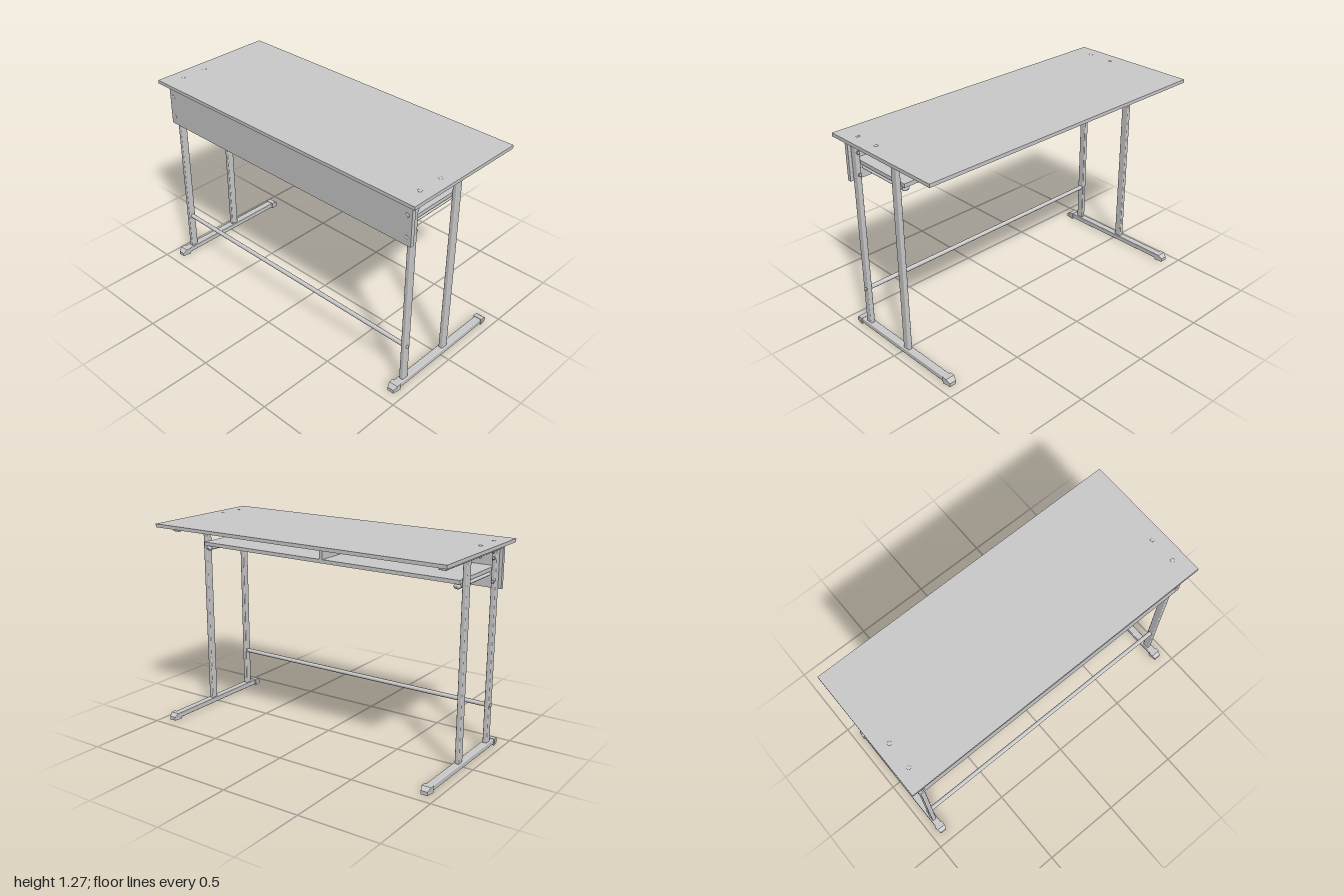
import * as THREE from 'three';
import { RoundedBoxGeometry } from 'three/addons/geometries/RoundedBoxGeometry.js';

const grey = new THREE.MeshStandardMaterial({ color: 0xcccccc });

function add(parent, name, geometry, x = 0, y = 0, z = 0) {
  const mesh = new THREE.Mesh(geometry, grey);
  mesh.name = name;
  mesh.position.set(x, y, z);
  parent.add(mesh);
  return mesh;
}

// Board or tube given by its limits along each axis; r rounds the edges
function block(parent, name, [x0, x1], [y0, y1], [z0, z1], r = 0) {
  const size = [x1 - x0, y1 - y0, z1 - z0];
  const geo = r ? new RoundedBoxGeometry(...size, 2, r) : new THREE.BoxGeometry(...size);
  return add(parent, name, geo, (x0 + x1) / 2, (y0 + y1) / 2, (z0 + z1) / 2);
}

// Shallow domed bolt head, base at the origin, pointing up
function boltHead(radius, height) {
  const profile = [[0, 0], [1, 0], [0.95, 0.35], [0.65, 0.8], [0, 1]];
  return new THREE.LatheGeometry(profile.map(([a, b]) => new THREE.Vector2(a * radius, b * height)), 14);
}

// Hexagonal nut with a short domed tip
function addNut(parent, x, y, z, turn) {
  const nut = new THREE.Group();
  nut.name = 'nut';
  const hex = new THREE.CylinderGeometry(0.011, 0.011, 0.008, 6);
  hex.translate(0, 0.004, 0);
  add(nut, 'nutBody', hex);
  add(nut, 'nutTip', boltHead(0.008, 0.01), 0, 0.008, 0);
  nut.position.set(x, y, z);
  nut.rotation.z = turn;
  parent.add(nut);
}

// Foot cap: bevelled side profile, narrowing towards its outer end (+x)
function footCapGeometry() {
  const shape = new THREE.Shape([[0, 0], [0.053, 0], [0.053, 0.022], [0.03, 0.042], [0, 0.042]]
    .map(p => new THREE.Vector2(...p)));
  const geo = new THREE.ExtrudeGeometry(shape, { depth: 0.058, bevelEnabled: false });
  geo.translate(0, 0, -0.029);
  const pos = geo.attributes.position;
  for (let i = 0; i < pos.count; i++) {
    if (pos.getX(i) > 0.04) pos.setZ(i, pos.getZ(i) * 0.72);
  }
  geo.computeVertexNormals();
  return geo;
}

// One end frame: foot, two legs, top rail, shelf support and fixings
function endFrame(side) {
  const frame = new THREE.Group();
  frame.name = side > 0 ? 'frontFrame' : 'backFrame';
  const zc = side * 0.924;
  const span = half => [zc - half, zc + half];

  block(frame, 'footBar', [-0.41, 0.41], [0.006, 0.039], span(0.023), 0.005);
  for (const end of [-1, 1]) {
    const cap = add(frame, 'footCap', footCapGeometry(), end * 0.38, 0, zc);
    if (end < 0) cap.rotation.y = Math.PI;
  }
  block(frame, 'rearLeg', [-0.346, -0.301], [0.036, 1.216], span(0.014), 0.006);
  block(frame, 'frontLeg', [0.012, 0.059], [0.036, 1.216], span(0.014), 0.006);
  block(frame, 'topRail', [-0.348, 0.32], [1.213, 1.247], span(0.023), 0.005);

  // Flat oval tube under the shelf, with a domed end
  const support = add(frame, 'shelfSupport', new THREE.CylinderGeometry(0.013, 0.013, 0.36, 16), -0.12, 1.071, side * 0.885);
  support.rotation.z = Math.PI / 2;
  support.scale.z = 1.7;
  const plug = add(frame, 'supportPlug', boltHead(0.016, 0.016), 0.06, 1.071, side * 0.885);
  plug.rotation.z = -Math.PI / 2;
  plug.scale.z = 1.5;

  // Bolts through the tabletop and top rail
  for (const x of [-0.285, -0.12]) {
    add(frame, 'topBolt', boltHead(0.013, 0.005), x, 1.267, zc);
    addNut(frame, x, 1.213, zc, Math.PI);
  }
  // Bolts through the rear panel and leg
  for (const y of [1.165, 1.03]) {
    add(frame, 'panelBolt', boltHead(0.013, 0.005), -0.371, y, zc).rotation.z = Math.PI / 2;
    addNut(frame, -0.301, y, zc, -Math.PI / 2);
  }
  return frame;
}

export function createModel() {
  const desk = new THREE.Group();
  desk.name = 'desk';

  // Boards
  block(desk, 'tabletop', [-0.416, 0.414], [1.247, 1.268], [-1, 1]);
  block(desk, 'rearPanel', [-0.372, -0.348], [0.98, 1.245], [-0.955, 0.955]);
  block(desk, 'shelf', [-0.348, 0.083], [1.088, 1.111], [-0.908, 0.908]);
  block(desk, 'shelfDivider', [-0.348, 0.083], [1.111, 1.247], [-0.012, 0.012]);

  // Round stretcher with its end fixings
  add(desk, 'stretcher', new THREE.CylinderGeometry(0.0135, 0.0135, 1.83, 20), -0.324, 0.274, 0).rotation.x = Math.PI / 2;
  for (const side of [-1, 1]) {
    add(desk, 'stretcherBolt', boltHead(0.012, 0.007), -0.324, 0.274, side * 0.938).rotation.x = side * Math.PI / 2;
    desk.add(endFrame(side));
  }
  return desk;
}
